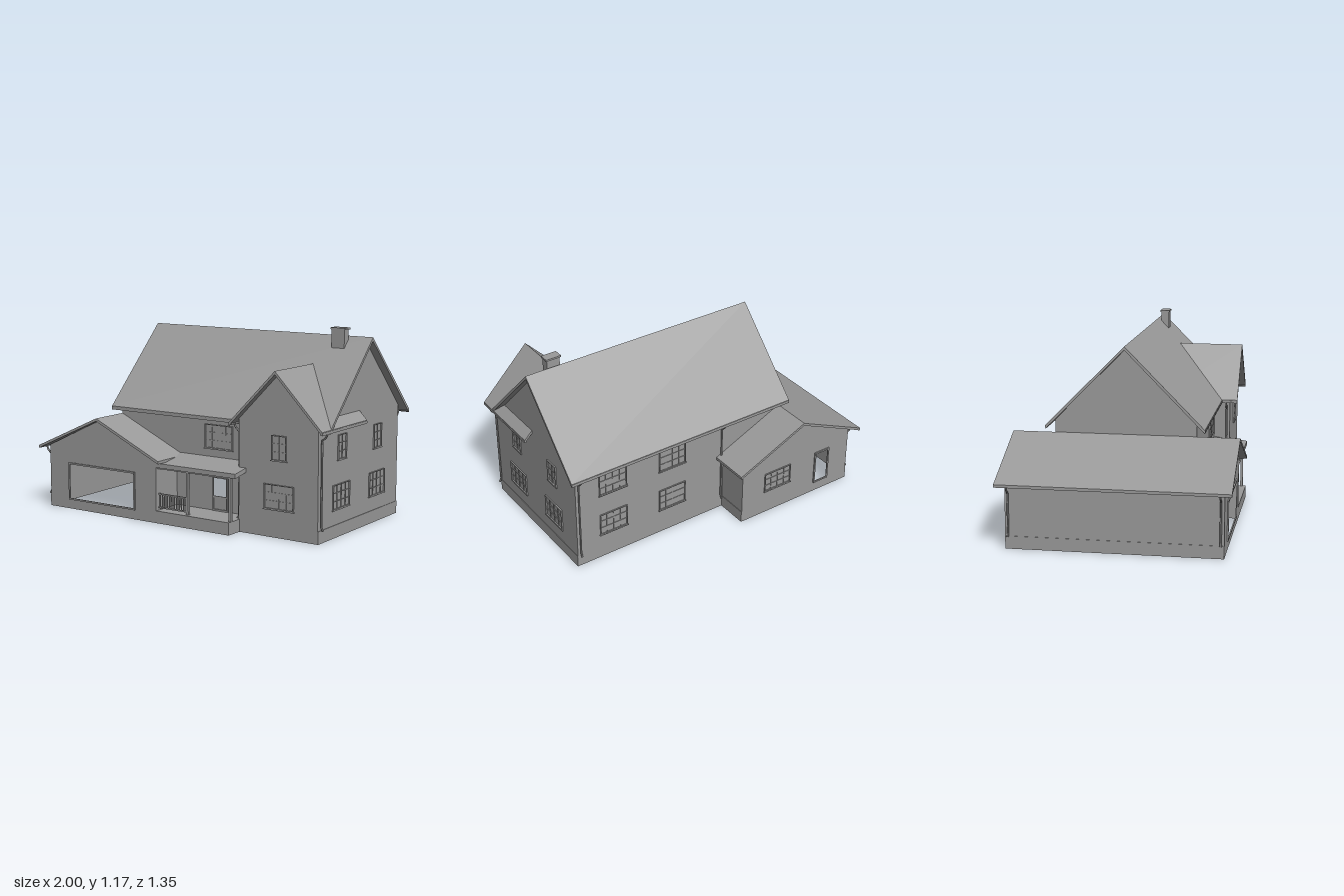
import * as THREE from 'three';

const mat = new THREE.MeshStandardMaterial({ color: 0x9a9a9a, flatShading: true });
const matDouble = new THREE.MeshStandardMaterial({ color: 0x9a9a9a, flatShading: true, side: THREE.DoubleSide });

function add(parent, name, geo, material = mat) {
  const m = new THREE.Mesh(geo, material);
  m.name = name;
  parent.add(m);
  return m;
}

// box given by its minimum and maximum corners
function box(parent, name, [x0, y0, z0], [x1, y1, z1]) {
  const m = add(parent, name, new THREE.BoxGeometry(x1 - x0, y1 - y0, z1 - z0));
  m.position.set((x0 + x1) / 2, (y0 + y1) / 2, (z0 + z1) / 2);
  return m;
}

const points = (pts) => pts.map(([x, y]) => new THREE.Vector2(x, y));
const rect = (x0, y0, x1, y1) => [[x0, y0], [x1, y0], [x1, y1], [x0, y1]];

// flat wall turned to face a direction; details are added in its own plane
function facade(parent, name, angle, dist, pts, holes = [], material = matDouble) {
  const g = new THREE.Group();
  g.name = name;
  g.rotation.y = angle;
  g.position.set(Math.sin(angle) * dist, 0, Math.cos(angle) * dist);
  const s = new THREE.Shape(points(pts));
  holes.forEach((h) => s.holes.push(new THREE.Path(points(h))));
  add(g, name + 'Panel', new THREE.ShapeGeometry(s), material);
  parent.add(g);
  return g;
}

// trim around a rectangle
function frame(parent, name, x0, y0, x1, y1, t = 0.01) {
  const s = new THREE.Shape(points(rect(x0 - t, y0 - t, x1 + t, y1 + t)));
  s.holes.push(new THREE.Path(points(rect(x0, y0, x1, y1))));
  add(parent, name, new THREE.ExtrudeGeometry(s, { depth: 0.008, bevelEnabled: false }));
}

// window with frame, bars and sill
function windowUnit(parent, cx, y0, y1, w, cols) {
  const g = new THREE.Group();
  g.name = 'window';
  const x0 = cx - w / 2, x1 = cx + w / 2;
  frame(g, 'windowFrame', x0 + 0.005, y0 + 0.005, x1 - 0.005, y1 - 0.005, 0.005);
  for (let i = 1; i < cols; i++) {
    const x = x0 + (w * i) / cols;
    box(g, 'windowBar', [x - 0.002, y0, 0], [x + 0.002, y1, 0.004]);
  }
  for (let j = 1; j < 3; j++) {
    const y = y0 + ((y1 - y0) * j) / 3;
    box(g, 'windowBar', [x0, y - 0.002, 0], [x1, y + 0.002, 0.004]);
  }
  box(g, 'windowSill', [x0 - 0.005, y0 - 0.005, 0], [x1 + 0.005, y0, 0.009]);
  parent.add(g);
}

// two-slope roof slab, ridge along z
function gableRoof(parent, name, half, ridge, eave, t, z0, z1) {
  const s = new THREE.Shape(points(
    [[-half, eave - t], [0, ridge - t], [half, eave - t], [half, eave], [0, ridge], [-half, eave]]));
  const geo = new THREE.ExtrudeGeometry(s, { depth: z1 - z0, bevelEnabled: false });
  geo.translate(0, 0, z0);
  return add(parent, name, geo);
}

// pipe from the gutter to the wall and down to a kicked-out foot
function downspout(parent, x, z, dx, dz, top) {
  const p = (o, y) => new THREE.Vector3(x + dx * o, y, z + dz * o);
  const path = new THREE.CurvePath();
  const pts = [p(0.043, top), p(0.038, top - 0.02), p(0.01, top - 0.045), p(0.01, 0.095), p(0.022, 0.075)];
  for (let i = 1; i < pts.length; i++) path.add(new THREE.LineCurve3(pts[i - 1], pts[i]));
  add(parent, 'downspout', new THREE.TubeGeometry(path, 40, 0.006, 6));
}

export function createModel() {
  const house = new THREE.Group();
  house.name = 'house';
  const H = Math.PI / 2;

  // main block walls
  const right = facade(house, 'rightWall', H, 0.943,
    [[-0.52, 0], [0.42, 0], [0.42, 0.675], [0, 1.113], [-0.42, 0.675], [-0.52, 0.675]]);
  windowUnit(right, -0.26, 0.45, 0.595, 0.095, 2);
  windowUnit(right, 0.16, 0.45, 0.595, 0.095, 2);
  windowUnit(right, -0.265, 0.165, 0.31, 0.19, 4);
  windowUnit(right, 0.16, 0.165, 0.31, 0.19, 4);
  box(right, 'plinth', [-0.52, 0, 0], [0.42, 0.075, 0.003]);

  facade(house, 'leftWall', -H, 0.53, [[-0.42, 0.58], [0.42, 0.58], [0.42, 0.675], [0, 1.113], [-0.42, 0.675]]);

  const back = facade(house, 'backWall', Math.PI, 0.42,
    [[-0.943, 0], [0.11, 0], [0.11, 0.39], [0.53, 0.585], [0.53, 0.675], [-0.943, 0.675]]);
  for (const y of [0.165, 0.45])
    for (const x of [-0.69, -0.27]) windowUnit(back, x, y, y + 0.145, 0.19, 4);

  const upper = facade(house, 'upperFrontWall', 0, 0.42,
    [[-0.11, 0.38], [0.41, 0.38], [0.41, 0.675], [-0.53, 0.675], [-0.53, 0.585], [-0.11, 0.39]], [], mat);
  windowUnit(upper, 0.2, 0.45, 0.595, 0.2, 4);

  const porchWall = facade(house, 'porchWall', 0, 0.42, rect(-0.11, 0, 0.41, 0.38), [rect(0.165, 0.165, 0.255, 0.3)]);
  frame(porchWall, 'doorFrame', 0.165, 0.085, 0.255, 0.3);
  box(porchWall, 'doorRail', [0.165, 0.155, 0], [0.255, 0.165, 0.005]);

  // main roof, gutters and chimney
  gableRoof(house, 'mainRoof', 0.472, 1.125, 0.648, 0.022, -0.57, 0.992).rotation.y = H;
  box(house, 'frontGutter', [-0.57, 0.634, 0.46], [0.4, 0.646, 0.474]);
  box(house, 'backGutter', [-0.57, 0.634, -0.474], [0.992, 0.646, -0.46]);
  box(house, 'chimney', [0.755, 1.02, 0.018], [0.84, 1.166, 0.068]);
  box(house, 'chimneyCap', [0.748, 1.164, 0.012], [0.847, 1.175, 0.072]);

  // front gabled wing
  const wing = facade(house, 'wingFront', 0, 0.52,
    [[0.41, 0], [0.943, 0], [0.943, 0.675], [0.683, 0.955], [0.41, 0.675]], [], mat);
  windowUnit(wing, 0.685, 0.45, 0.595, 0.1, 2);
  windowUnit(wing, 0.685, 0.165, 0.31, 0.2, 4);
  facade(house, 'wingSide', -H, -0.41, rect(0.42, 0, 0.52, 0.675), [], mat);
  gableRoof(house, 'wingRoof', 0.31, 0.967, 0.65, 0.02, 0.06, 0.57).position.x = 0.684;
  box(house, 'wingGutter', [0.982, 0.634, 0.06], [0.996, 0.646, 0.57]);
  box(house, 'wingGutter', [0.372, 0.634, 0.42], [0.386, 0.646, 0.57]);

  // garage
  const gable = (s) => [[s * -0.945, 0], [s * -0.11, 0], [s * -0.11, 0.39], [s * -0.53, 0.585], [s * -0.945, 0.39]];
  const gFront = facade(house, 'garageFront', 0, 0.63, gable(1), [rect(-0.782, 0.068, -0.278, 0.283)]);
  frame(gFront, 'garageOpeningFrame', -0.782, 0.068, -0.278, 0.283);
  const gBack = facade(house, 'garageBack', Math.PI, 0.625, gable(-1), [rect(0.685, 0.075, 0.78, 0.285)]);
  frame(gBack, 'garageDoorFrame', 0.685, 0.075, 0.78, 0.285);
  windowUnit(gBack, 0.38, 0.16, 0.29, 0.2, 4);
  const gLeft = facade(house, 'garageLeftWall', -H, 0.945, rect(-0.625, 0, 0.63, 0.39));
  box(gLeft, 'plinth', [-0.625, 0, 0], [0.63, 0.075, 0.003]);
  facade(house, 'garageRightWallFront', H, -0.11, rect(-0.63, 0, -0.42, 0.39));
  const gRight = facade(house, 'garageRightWallBack', H, -0.11, rect(0.42, 0, 0.625, 0.39));
  box(gRight, 'plinth', [0.42, 0, 0], [0.625, 0.075, 0.003]);
  gableRoof(house, 'garageRoof', 0.47, 0.6, 0.387, 0.017, -0.675, 0.675).position.x = -0.53;
  box(house, 'garageGutter', [-1, 0.372, -0.675], [-0.988, 0.384, 0.675]);
  box(house, 'garageGutter', [-0.072, 0.372, -0.675], [-0.06, 0.384, -0.42]);

  // porch: floor, sloped roof, posts and railing
  box(house, 'porchFloor', [-0.11, 0, 0.42], [0.415, 0.075, 0.63]);
  const roofProfile = new THREE.Shape(points([[0.42, 0.375], [0.42, 0.4], [0.63, 0.365], [0.63, 0.338]]));
  const porchRoof = add(house, 'porchRoof', new THREE.ExtrudeGeometry(roofProfile, { depth: 0.57, bevelEnabled: false }));
  porchRoof.rotation.y = -H;
  porchRoof.position.x = 0.46;
  box(house, 'porchBeam', [-0.11, 0.328, 0.595], [0.42, 0.346, 0.615]);
  for (const x of [0.105, 0.41]) box(house, 'porchPost', [x - 0.008, 0.075, 0.595], [x + 0.008, 0.34, 0.611]);
  for (const y of [0.088, 0.17]) box(house, 'porchRail', [-0.11, y, 0.598], [0.1, y + 0.008, 0.608]);
  for (let i = 0; i < 12; i++) {
    const x = -0.1 + i * 0.0175;
    box(house, 'baluster', [x - 0.003, 0.09, 0.6], [x + 0.003, 0.172, 0.606]);
  }

  // downspouts at the corners
  downspout(house, 0.945, 0.5, 1, 0, 0.635);
  downspout(house, 0.925, -0.42, 0, -1, 0.635);
  downspout(house, -0.09, -0.42, 0, -1, 0.635);
  downspout(house, 0.41, 0.5, -1, 0, 0.635);
  for (const z of [-0.605, 0.61]) downspout(house, -0.945, z, -1, 0, 0.375);

  return house;
}
